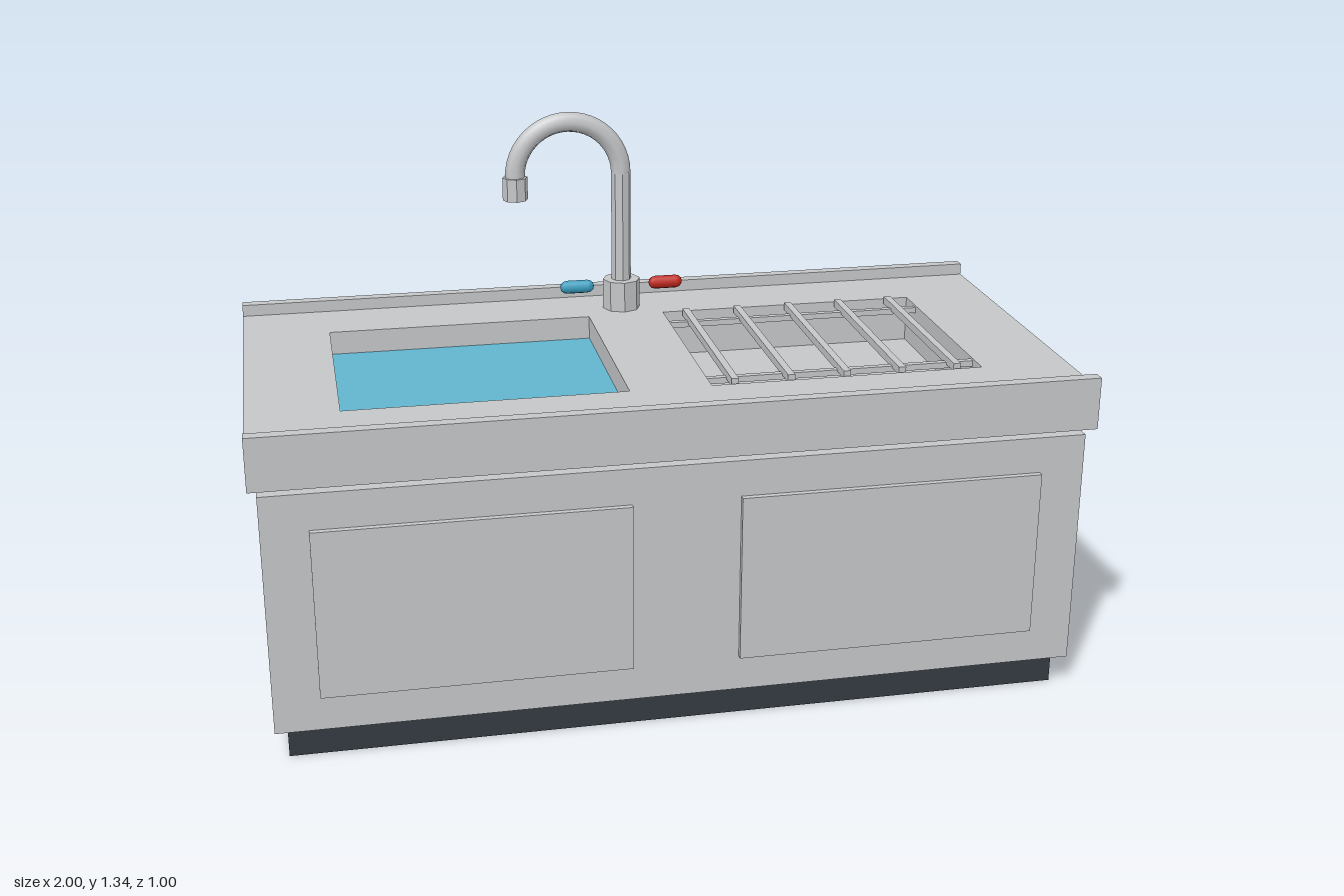
import * as THREE from 'three';

function mat(name, color) {
  const m = new THREE.MeshStandardMaterial({ color });
  m.name = name;
  return m;
}

export function createModel() {
  const steel = mat('brushed steel', 0xc4c6c8);
  const dark = mat('dark plinth', 0x343a42);
  const water = mat('water blue', 0x62b4ce);
  const red = mat('hot red', 0xc0281f);
  const blue = mat('cold blue', 0x3a9fc0);
  const model = new THREE.Group();
  model.name = 'sinkUnit';

  const add = (name, geometry, material, x = 0, y = 0, z = 0, parent = model) => {
    const mesh = new THREE.Mesh(geometry, material);
    mesh.name = name;
    mesh.position.set(x, y, z);
    parent.add(mesh);
    return mesh;
  };
  // Box given by its lower and upper corners
  const box = (name, material, x0, x1, y0, y1, z0, z1, parent) =>
    add(name, new THREE.BoxGeometry(x1 - x0, y1 - y0, z1 - z0), material,
      (x0 + x1) / 2, (y0 + y1) / 2, (z0 + z1) / 2, parent);
  // Eight-sided cylinder with flat faces
  const octagon = (r, h) => {
    const g = new THREE.CylinderGeometry(r, r, h, 8).toNonIndexed();
    g.computeVertexNormals();
    return g;
  };
  const rect = (T, x, w, d) => new T().moveTo(x - w / 2, -d / 2).lineTo(x + w / 2, -d / 2)
    .lineTo(x + w / 2, d / 2).lineTo(x - w / 2, d / 2).closePath();
  // Horizontal slab with rectangular holes, from y0 to y1
  const slab = (name, x, w, d, holes, y0, y1) => {
    const shape = rect(THREE.Shape, x, w, d);
    for (const [hx, hw, hd] of holes) shape.holes.push(rect(THREE.Path, hx, hw, hd));
    const g = new THREE.ExtrudeGeometry(shape, { depth: y1 - y0, bevelEnabled: false });
    g.rotateX(-Math.PI / 2);
    return add(name, g, steel, 0, y0, 0);
  };

  // Plinth and cabinet
  box('plinth', dark, -0.95, 0.95, 0, 0.07, -0.45, 0.45);
  box('cabinet', steel, -0.98, 0.98, 0.08, 0.68, -0.48, 0.48);

  // Raised panels on front and back
  for (const s of [1, -1]) {
    for (const x of [-0.5, 0.5]) {
      add(s > 0 ? 'frontPanel' : 'backPanel', new THREE.BoxGeometry(0.74, 0.42, 0.02), steel, x, 0.38, s * 0.485);
    }
  }

  // Counter with two openings and raised lips
  slab('counter', 0, 2, 1, [[-0.44, 0.68, 0.58], [0.44, 0.68, 0.58]], 0.7, 0.8);
  box('frontLip', steel, -1, 1, 0.8, 0.83, 0.47, 0.5);
  box('backLip', steel, -1, 1, 0.8, 0.83, -0.5, -0.47);

  // Basin walls under the openings
  for (const x of [-0.44, 0.44]) slab('basinWall', x, 0.72, 0.62, [[x, 0.68, 0.58]], 0.67, 0.7);
  box('water', water, -0.78, -0.1, 0.732, 0.74, -0.29, 0.29);

  // Drying rack over the right-hand basin
  const rack = new THREE.Group();
  rack.name = 'rack';
  model.add(rack);
  for (let i = -2; i <= 2; i++) {
    const x = 0.44 + i * 0.14;
    box('rackBar', steel, x - 0.009, x + 0.009, 0.79, 0.81, -0.28, 0.28, rack);
  }
  for (const z of [-0.22, 0.22]) box('rackRail', steel, 0.1, 0.78, 0.78, 0.795, z - 0.008, z + 0.008, rack);

  // Tap
  const tap = new THREE.Group();
  tap.name = 'tap';
  tap.position.z = -0.36;
  model.add(tap);
  add('tapBase', octagon(0.05, 0.08), steel, 0, 0.84, 0, tap);
  add('tapColumn', octagon(0.026, 0.31), steel, 0, 1.015, 0, tap);
  add('tapNeck', new THREE.TorusGeometry(0.14, 0.026, 8, 24, Math.PI), steel, -0.14, 1.17, 0, tap);
  add('tapNozzle', octagon(0.033, 0.06), steel, -0.28, 1.14, 0, tap);
  for (const s of [-1, 1]) {
    const handle = new THREE.CapsuleGeometry(0.018, 0.055, 3, 8);
    handle.rotateZ(Math.PI / 2);
    add(s < 0 ? 'coldHandle' : 'hotHandle', handle, s < 0 ? blue : red, s * 0.12, 0.863, 0, tap);
  }
  return model;
}
